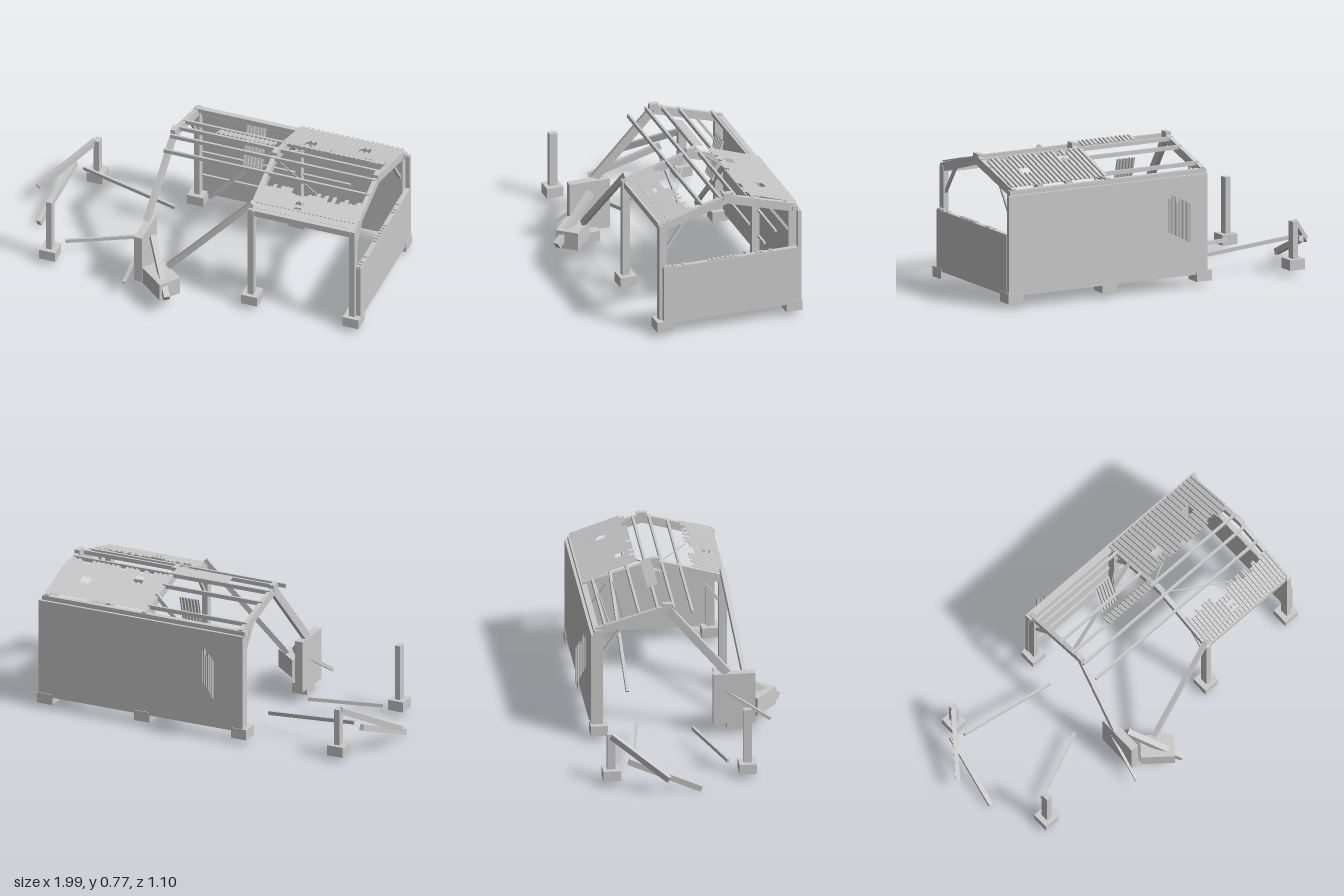
import * as THREE from 'three';

const mat = new THREE.MeshStandardMaterial({ color: 0xcccccc, flatShading: true });
const sheetMat = new THREE.MeshStandardMaterial({ color: 0xcccccc, flatShading: true, side: THREE.DoubleSide });

const RIDGE_Z = -0.08;
const FRONT_Z = 0.283, BACK_Z = -0.443;
const FRAMES = [-0.19, 0.38, 0.95];

// Seeded pseudo-random number for torn edges
const hash = n => { const s = Math.sin(n * 127.1 + 11.7) * 43758.5453; return s - Math.floor(s); };

export function createModel() {
  const model = new THREE.Group();
  model.name = 'ruinedShed';

  const box = (name, [w, h, d], [x, y, z], ry = 0) => {
    const m = new THREE.Mesh(new THREE.BoxGeometry(w, h, d), mat);
    m.name = name;
    m.position.set(x, y, z);
    m.rotation.y = ry;
    model.add(m);
    return m;
  };

  // Straight timber from a to b, w wide and h deep
  const beam = (name, a, b, w, h = w) => {
    const p = new THREE.Vector3(...a), q = new THREE.Vector3(...b);
    const m = new THREE.Mesh(new THREE.BoxGeometry(w, h, p.distanceTo(q)), mat);
    m.name = name;
    m.position.copy(p).add(q).multiplyScalar(0.5);
    m.lookAt(q);
    model.add(m);
    return m;
  };

  // Ribbed sheet spanned by u (across the ribs) and v (along them);
  // keep(i, j) says whether a cell of rib i, row j is still there
  const sheet = (name, origin, u, v, ribs, rows, amp, keep = () => true) => {
    const o = new THREE.Vector3(...origin), U = new THREE.Vector3(...u), V = new THREE.Vector3(...v);
    const N = V.clone().cross(U).normalize().multiplyScalar(amp);
    const profile = [[0, 0], [0.4, 0], [0.5, 1], [0.9, 1], [1, 0]];
    const at = (s, t, k) => o.clone().addScaledVector(U, s).addScaledVector(V, t).addScaledVector(N, k);
    const pts = [];
    for (let i = 0; i < ribs; i++) for (let j = 0; j < rows; j++) {
      if (!keep(i, j)) continue;
      for (let k = 0; k < 4; k++) {
        const [f0, h0] = profile[k], [f1, h1] = profile[k + 1];
        const s0 = (i + f0) / ribs, s1 = (i + f1) / ribs, t0 = j / rows, t1 = (j + 1) / rows;
        const a = at(s0, t0, h0), b = at(s1, t0, h1), c = at(s1, t1, h1), d = at(s0, t1, h0);
        pts.push(a, d, c, a, c, b);
      }
    }
    const g = new THREE.BufferGeometry().setFromPoints(pts);
    g.computeVertexNormals();
    const m = new THREE.Mesh(g, sheetMat);
    m.name = name;
    model.add(m);
  };

  // Footings
  for (const x of [-0.755, ...FRAMES]) for (const z of [FRONT_Z - 0.003, BACK_Z])
    box('footing', [0.09, 0.057, 0.092], [x, 0.057, z]);

  // Posts, with the broken stumps at the ruined end
  const post = (x, z, top, name = 'post') => box(name, [0.032, top - 0.08, 0.044], [x, (top + 0.08) / 2, z]);
  for (const x of FRAMES) post(x, BACK_Z, 0.63);
  for (const x of FRAMES.slice(1)) post(x, FRONT_Z, 0.63);
  post(-0.755, FRONT_Z - 0.003, 0.39, 'postStump');
  post(-0.755, BACK_Z, 0.285, 'postStump');

  // Rafters, ridge plates and knee braces of each frame
  for (const x of FRAMES) {
    for (const side of [-1, 1]) {
      if (x < 0 && side > 0) continue;
      const zAt = d => RIDGE_Z + side * d;
      beam('rafter', [x, 0.728, RIDGE_Z], [x, 0.617, zAt(0.38)], 0.024, 0.046);
      beam('kneeBrace', [x, 0.49, zAt(0.345)], [x, 0.645, zAt(0.235)], 0.014);
    }
    box('ridgePlate', [0.028, 0.035, 0.05], [x, 0.746, RIDGE_Z]);
  }

  // Purlins and eave beams
  const purlinY = d => 0.744 - 0.28 * Math.abs(d);
  for (const d of [-0.33, -0.145, -0.048, 0.037, 0.135, 0.33]) {
    const x0 = d > 0.3 ? 0.38 : -0.2;
    box('purlin', [0.955 - x0, 0.022, 0.013], [(0.955 + x0) / 2, purlinY(d), RIDGE_Z + d]);
  }
  box('frontEaveBeam', [0.57, 0.035, 0.025], [0.665, 0.613, FRONT_Z]);
  box('backEaveBeam', [1.19, 0.03, 0.03], [0.38, 0.617, BACK_Z - 0.012]);

  // Back wall, its rails and the low end wall with a crumbled top
  box('backWall', [1.2, 0.54, 0.02], [0.39, 0.338, -0.475]);
  for (const [y, len] of [[0.585, 0.57], [0.34, 0.85], [0.19, 0.68]])
    box('wallRail', [len, 0.012, 0.014], [-0.19 + len / 2, y, -0.46]);
  box('endWall', [0.026, 0.328, 0.75], [0.98, 0.234, -0.088]);
  for (let i = 0; i < 30; i++) {
    const z = 0.275 - i * 0.0245;
    if ((z < 0.14 && z > 0.04) || (z < -0.14 && z > -0.22) || z < -0.35 || hash(i) < 0.25) continue;
    box('crumbledEdge', [0.02, 0.008, 0.016], [0.98, 0.401, z]);
  }

  // Broken wall slab and the fallen block
  box('wallSlab', [0.045, 0.285, 0.225], [-0.222, 0.213, 0.272]);
  box('fallenBlock', [0.18, 0.1, 0.125], [-0.083, 0.13, 0.41], -0.69);

  // Fallen and leaning timbers: name, start, end, width, depth
  const fallen = [
    ['fallenRafter', [-0.19, 0.72, -0.07], [-0.23, 0.36, 0.235], 0.025, 0.045],
    ['fallenPost', [-0.18, 0.3, 0.275], [-0.01, 0.11, 0.525], 0.032, 0.04],
    ['fallenEaveBeam', [0.385, 0.67, 0.28], [-0.06, 0.195, 0.36], 0.025, 0.03],
    ['fallenPurlin', [0.385, 0.69, -0.315], [-0.065, 0.2, -0.275], 0.016, 0.022],
    ['fallenBrace', [-0.275, 0.1, 0.46], [-0.235, 0.27, 0.2], 0.014, 0.018],
    ['fallenBeam', [-0.765, 0.275, -0.44], [-0.985, 0.11, -0.16], 0.025, 0.033],
    ['fallenBeam', [-0.915, 0.017, 0.02], [-0.85, 0.165, -0.36], 0.025, 0.033],
    ['fallenBatten', [-0.79, 0.17, -0.325], [-0.25, 0.103, -0.25], 0.013, 0.02],
    ['fallenBatten', [-0.705, 0.07, 0.185], [-0.335, 0.095, 0.04], 0.013, 0.02],
    ['hangingRod', [0.24, 0.41, -0.32], [0.37, 0.64, -0.4], 0.005, 0.005],
    ['roofRod', [0.39, 0.73, -0.13], [0.5, 0.71, -0.19], 0.005, 0.005],
    ['roofRod', [0.4, 0.725, -0.05], [0.7, 0.68, 0.12], 0.005, 0.005],
  ];
  fallen.forEach(args => beam(...args));

  // Roof sheets with torn edges and holes
  sheet('backRoofSheet', [0.375, 0.647, -0.463], [0.585, 0, 0], [0, 0.098, 0.288], 21, 12, 0.008, (i, j) => {
    const hole = (i >= 4 && i <= 5 && j >= 8 && j <= 9) || (i >= 14 && i <= 15 && j >= 5 && j <= 6);
    return !hole && j < 12 - (hash(i) < 0.4 ? 1 : 0);
  });
  sheet('frontRoofSheet', [0.375, 0.694, 0.118], [0.58, 0, 0], [0, -0.046, 0.175], 26, 9, 0.007, (i, j) => {
    const hole = i >= 10 && i <= 11 && (j === 4 || j === 6);
    return !hole && j >= Math.floor(hash(i + 40) * 3);
  });
  sheet('ridgeRoofSheet', [0.035, 0.752, -0.157], [0.325, 0, 0], [0, 0.017, 0.055], 13, 3, 0.007,
    (i, j) => !(hash(i + 7) < 0.2 && j === 2));

  // Sheets hanging inside and leaning on the back wall
  sheet('hangingRoofSheet', [0.13, 0.475, -0.255], [0.112, 0, 0], [0, 0.225, -0.06], 6, 6, 0.008);
  sheet('leaningSheet', [0.03, 0.315, -0.487], [-0.1, -0.055, -0.067], [0, 0.21, 0], 6, 8, 0.007,
    (i, j) => j < 8 - (hash(i + 3) < 0.4 ? 1 : 0));

  return model;
}
